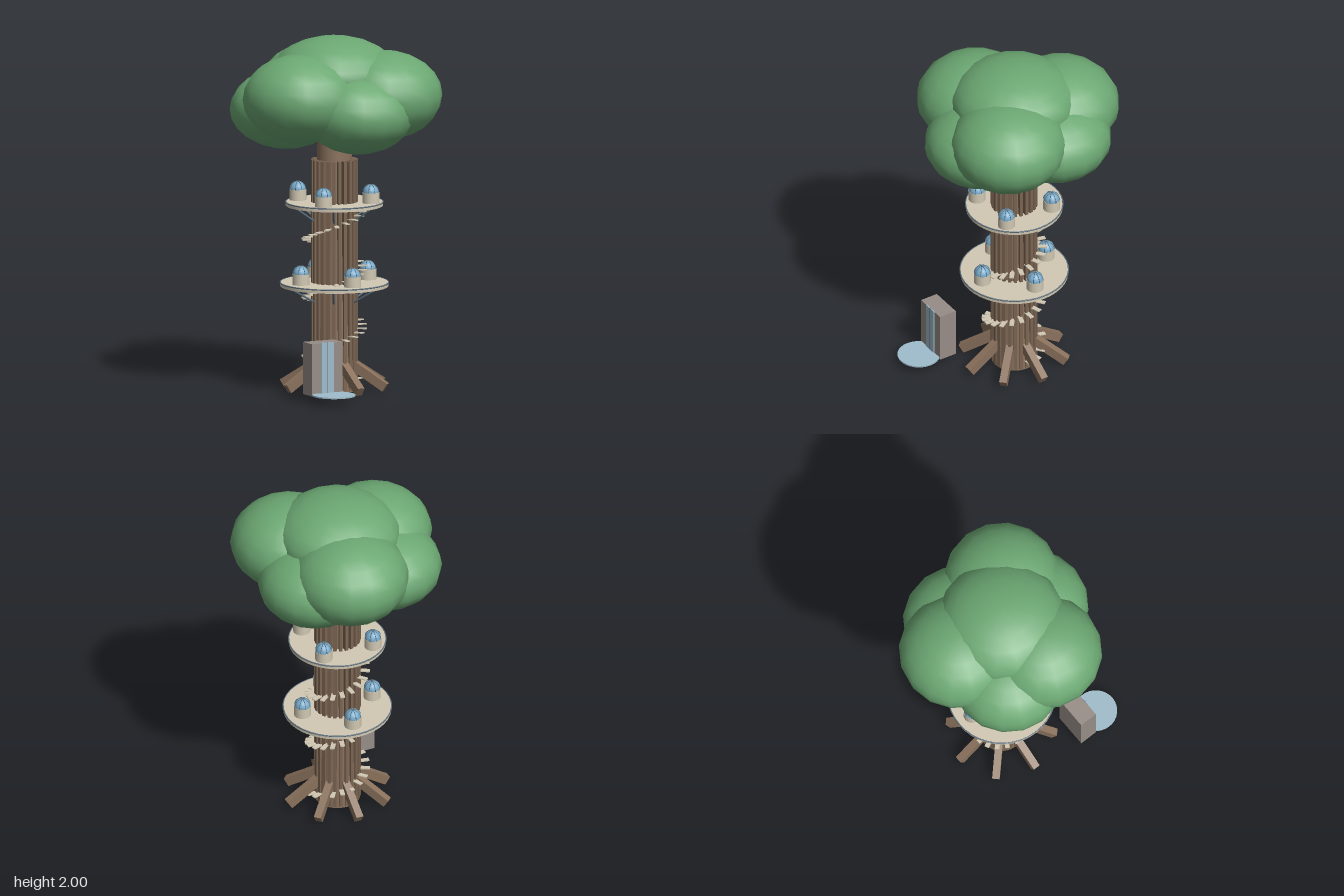
import * as THREE from 'three';

const mat = (name, color, extra = {}) => {
  const m = new THREE.MeshStandardMaterial({ color, ...extra });
  m.name = name;
  return m;
};

export function createModel() {
  const bark = mat('bark', 0x8a715c);
  const darkBark = mat('dark bark', 0x7b6552);
  const leaf = mat('leaf green', 0x6ca873);
  const cream = mat('cream', 0xd2c9b4);
  const steel = mat('steel', 0x5f7280);
  const glass = mat('dome glass', 0x78abcb);
  const stone = mat('grey stone', 0x978d87);
  const water = mat('pale blue', 0x9fbccb);

  const root = new THREE.Group();
  root.name = 'treeVillage';
  const add = (parent, name, geo, material, x = 0, y = 0, z = 0) => {
    const m = new THREE.Mesh(geo, material);
    m.name = name;
    m.position.set(x, y, z);
    parent.add(m);
    return m;
  };
  // Holder turned about the vertical axis, for parts arranged in a ring
  const spoke = (parent, name, angle, y = 0) => {
    const g = new THREE.Group();
    g.name = name;
    g.rotation.y = angle;
    g.position.y = y;
    parent.add(g);
    return g;
  };

  const tree = new THREE.Group();
  tree.name = 'tree';
  tree.position.set(0.02, 0, 0.01);
  root.add(tree);

  // Trunk with vertical bark ribs
  add(tree, 'trunk', new THREE.CylinderGeometry(0.092, 0.128, 1.55, 24), bark, 0, 0.775, 0);
  const ribGeo = new THREE.BoxGeometry(0.032, 1.295, 0.019);
  for (let i = 0; i < 24; i++) {
    const s = spoke(tree, 'barkRibHolder', (i / 24) * Math.PI * 2);
    add(s, 'barkRib', ribGeo, darkBark, 0.115, 0.6575, 0);
  }

  // Sloping roots
  const rootGeo = new THREE.BoxGeometry(0.27, 0.052, 0.042);
  for (let i = 0; i < 8; i++) {
    const s = spoke(tree, 'rootHolder', (i / 8) * Math.PI * 2);
    add(s, 'root', rootGeo, bark, 0.185, 0.099, 0).rotation.z = -0.57;
  }

  // Spiral stair
  const stepGeo = new THREE.BoxGeometry(0.065, 0.006, 0.026);
  for (let i = 0; i < 56; i++) {
    const s = spoke(tree, 'stepHolder', (i / 19) * Math.PI * 2, 0.055 + i * 0.0174);
    add(s, 'stairStep', stepGeo, cream, 0.15, 0, 0);
  }

  // Domed hut: drum, glass cap and meridian ribs
  const drumGeo = new THREE.CylinderGeometry(0.048, 0.048, 0.06, 16);
  const capGeo = new THREE.SphereGeometry(0.046, 16, 8, 0, Math.PI * 2, 0, Math.PI / 2);
  const archGeo = new THREE.TorusGeometry(0.046, 0.002, 4, 16, Math.PI);
  const hut = (parent, x) => {
    add(parent, 'hutWall', drumGeo, cream, x, 0.03, 0);
    add(parent, 'hutDome', capGeo, glass, x, 0.06, 0);
    for (let i = 0; i < 4; i++)
      add(parent, 'domeRib', archGeo, steel, x, 0.06, 0).rotation.y = (i / 4) * Math.PI;
  };

  // Round platforms with rim, struts and huts
  const platform = (name, top, radius, hutTurn) => {
    const p = new THREE.Group();
    p.name = name;
    p.position.y = top;
    tree.add(p);
    add(p, 'deck', new THREE.CylinderGeometry(radius, radius, 0.022, 40), cream, 0, -0.011, 0);
    add(p, 'rim', new THREE.TorusGeometry(radius, 0.004, 6, 40), steel, 0, -0.002, 0).rotation.x = Math.PI / 2;
    for (let i = 0; i < 4; i++)
      hut(spoke(p, 'hut', hutTurn + (i / 4) * Math.PI * 2), 0.213);
    const a = new THREE.Vector3(0.11, -0.115, 0);
    const b = new THREE.Vector3(radius - 0.02, -0.018, 0);
    const strutGeo = new THREE.CylinderGeometry(0.006, 0.006, a.distanceTo(b), 6);
    for (let i = 0; i < 6; i++) {
      const s = spoke(p, 'strutHolder', (i / 6) * Math.PI * 2);
      const m = add(s, 'strut', strutGeo, steel);
      m.position.copy(a).add(b).multiplyScalar(0.5);
      m.rotation.z = Math.atan2(b.y - a.y, b.x - a.x) - Math.PI / 2;
    }
  };
  platform('lowerPlatform', 0.61, 0.303, 0);
  platform('upperPlatform', 1.065, 0.272, Math.PI / 4);

  // Canopy of flattened leaf clusters: x, y, z, radius, half height
  const ball = new THREE.SphereGeometry(1, 16, 12);
  const clusters = [
    [0.02, 1.78, 0.01, 0.36, 0.22],
    [0.065, 1.675, -0.27, 0.33, 0.25],
    [-0.24, 1.675, 0.1, 0.33, 0.25],
    [0.235, 1.675, 0.19, 0.33, 0.25],
    [0.04, 1.59, 0.25, 0.313, 0.225],
    [0.22, 1.59, -0.13, 0.318, 0.225],
    [-0.21, 1.59, -0.13, 0.318, 0.225],
  ];
  for (const [x, y, z, r, h] of clusters)
    add(root, 'leafCluster', ball, leaf, x, y, z).scale.set(r, h, r);

  // Lift booth with glass doors and a round landing pad
  const booth = new THREE.Group();
  booth.name = 'booth';
  booth.position.set(-0.238, 0, 0);
  root.add(booth);
  add(booth, 'boothBody', new THREE.BoxGeometry(0.194, 0.295, 0.105), stone, 0, 0.1875, 0.3475);
  for (const side of [-1, 1])
    add(booth, 'boothDoor', new THREE.BoxGeometry(0.036, 0.288, 0.006), water, side * 0.021, 0.195, 0.402);
  add(booth, 'doorGap', new THREE.BoxGeometry(0.006, 0.288, 0.005), steel, 0, 0.195, 0.402);
  add(booth, 'landingPad', new THREE.CylinderGeometry(0.12, 0.12, 0.008, 32), water, 0, 0.05, 0.478);

  return root;
}
